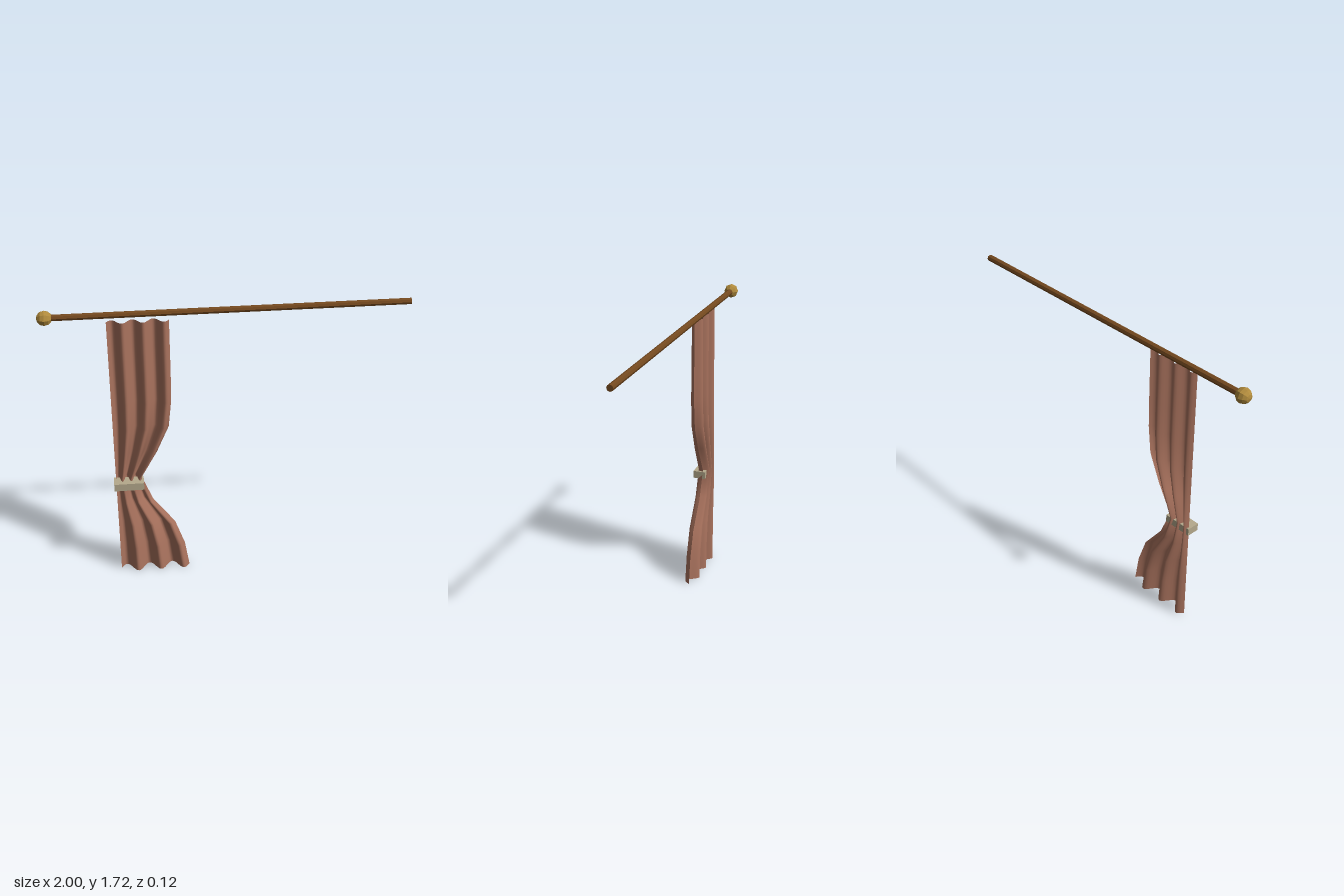
import * as THREE from 'three';

const material = (name, color, extra = {}) => {
  const m = new THREE.MeshStandardMaterial({ color, ...extra });
  m.name = name;
  return m;
};

// Pleated sheet: left edge hangs straight, right edge follows the gathered outline
function curtainGeometry() {
  const height = 1.645, left = -0.64, folds = 3, columns = 36;
  // right edge at evenly spaced heights, from the hem up
  const edge = [-0.23, -0.255, -0.31, -0.43, -0.493, -0.40, -0.328, -0.31, -0.308, -0.308, -0.308];
  const rows = edge.length - 1;
  const geo = new THREE.PlaneGeometry(1, 1, columns, rows);
  const pos = geo.attributes.position;
  for (let i = 0; i < pos.count; i++) {
    const u = pos.getX(i) + 0.5;
    const v = pos.getY(i) + 0.5;
    const depth = 0.035 - 0.011 * v;
    const x = left + u * (edge[Math.round(v * rows)] - left);
    pos.setXYZ(i, x, v * height, 0.004 - depth * Math.sin(u * folds * Math.PI * 2));
  }
  geo.computeVertexNormals();
  return geo;
}

export function createModel() {
  const group = new THREE.Group();
  const wood = material('dark wood', 0x74491f, { flatShading: true });
  const brass = material('brass', 0xb08a3c, { flatShading: true });
  const cloth = material('rose brown cloth', 0xaa735e, { side: THREE.DoubleSide });
  const linen = material('linen', 0xb5a98c);

  const add = (name, geometry, mat, x = 0, y = 0, z = 0) => {
    const mesh = new THREE.Mesh(geometry, mat);
    mesh.name = name;
    mesh.position.set(x, y, z);
    group.add(mesh);
    return mesh;
  };

  // Rod with a finial on one end
  const rodY = 1.675, rodZ = -0.019;
  const rod = add('rod', new THREE.CylinderGeometry(0.018, 0.018, 1.957, 8), wood, 0.0215, rodY, rodZ);
  rod.rotation.z = Math.PI / 2;
  const finial = add('finial', new THREE.SphereGeometry(0.042, 8, 6), brass, -0.958, rodY, rodZ);
  finial.rotation.z = Math.PI / 2;

  // Gathered curtain and its tie band
  add('curtain', curtainGeometry(), cloth);
  add('tieBand', new THREE.BoxGeometry(0.17, 0.045, 0.074), linen, -0.567, 0.628, 0.025);

  return group;
}
